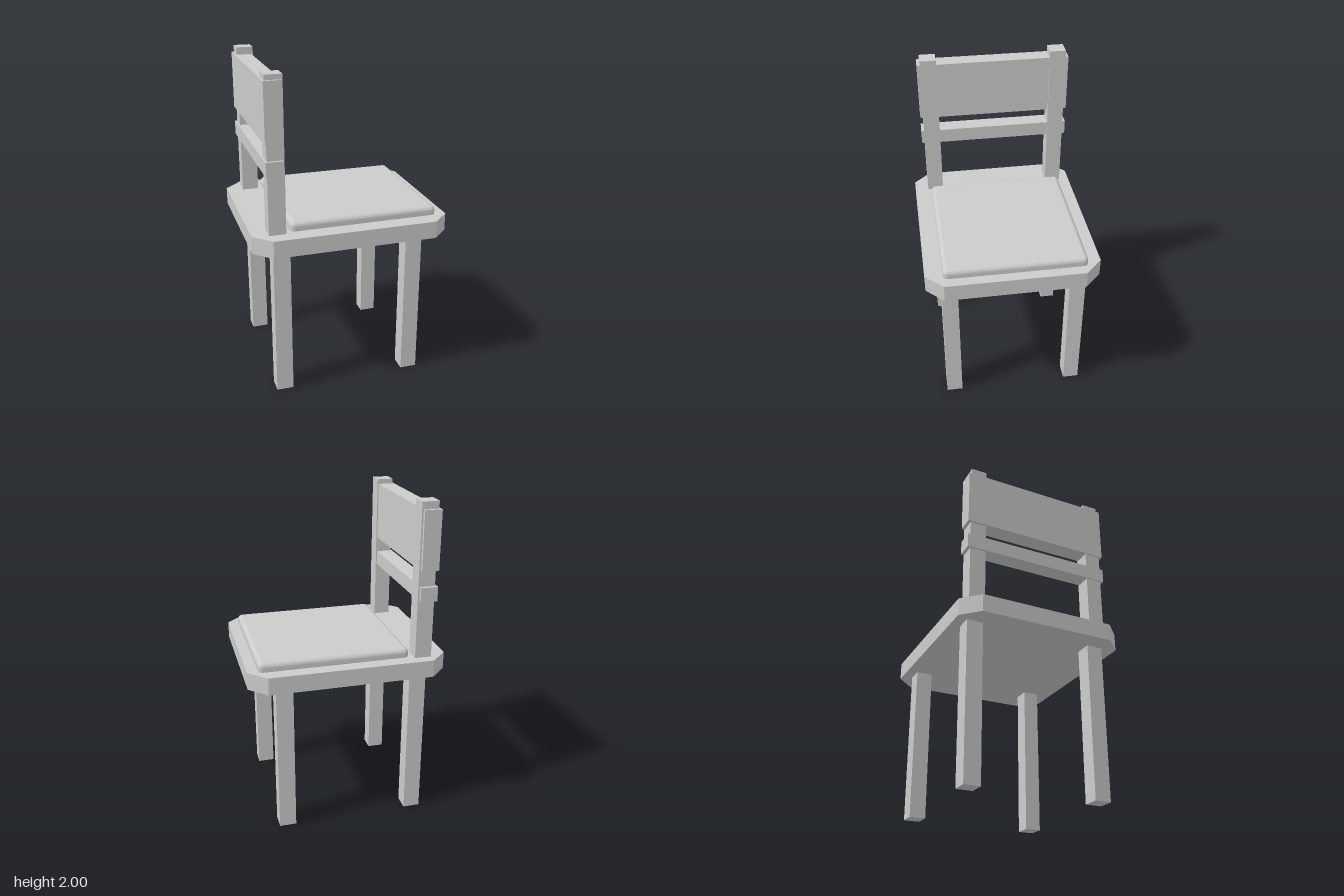
import * as THREE from 'three';
import { RoundedBoxGeometry } from 'three/addons/geometries/RoundedBoxGeometry.js';

const material = new THREE.MeshStandardMaterial({ color: 0xcccccc });

export function createModel() {
  const chair = new THREE.Group();
  chair.name = 'chair';

  const add = (name, geometry, x = 0, y = 0, z = 0) => {
    const mesh = new THREE.Mesh(geometry, material);
    mesh.name = name;
    mesh.position.set(x, y, z);
    chair.add(mesh);
  };
  // Box given by its centre in x and z, and its bottom and top in y
  const addBox = (name, x, z, width, depth, bottom, top) =>
    add(name, new THREE.BoxGeometry(width, top - bottom, depth), x, (bottom + top) / 2, z);

  // Seat board with cut corners
  const outline = [
    [0.605, 0.42], [0.5, 0.525], [-0.5, 0.525], [-0.605, 0.42],
    [-0.605, -0.42], [-0.5, -0.525], [0.5, -0.525], [0.605, -0.42],
  ].map(([x, z]) => new THREE.Vector2(x, z));
  const board = new THREE.ExtrudeGeometry(new THREE.Shape(outline), { depth: 0.107, bevelEnabled: false });
  board.rotateX(-Math.PI / 2);
  add('seat', board, 0, 0.953, 0);

  // Cushion, sunk slightly into the seat
  add('cushion', new RoundedBoxGeometry(0.914, 0.08, 0.862, 3, 0.03), 0.084, 1.075, -0.011);

  // Legs
  for (const z of [-0.411, 0.381]) {
    addBox('backLeg', z < 0 ? -0.425 : -0.433, z, 0.104, 0.1, 0, 0.96);
    addBox('frontLeg', 0.396, z, 0.104, 0.1, 0, 0.96);
  }

  // Backrest posts, one slightly taller
  addBox('leftPost', -0.453, -0.413, 0.102, 0.1, 1.05, 2);
  addBox('rightPost', -0.456, 0.39, 0.102, 0.1, 1.05, 1.985);

  // Backrest slats
  addBox('topPanel', -0.464, -0.013, 0.104, 0.94, 1.6, 1.955);
  addBox('lowerRail', -0.464, -0.013, 0.104, 0.94, 1.417, 1.505);

  return chair;
}
